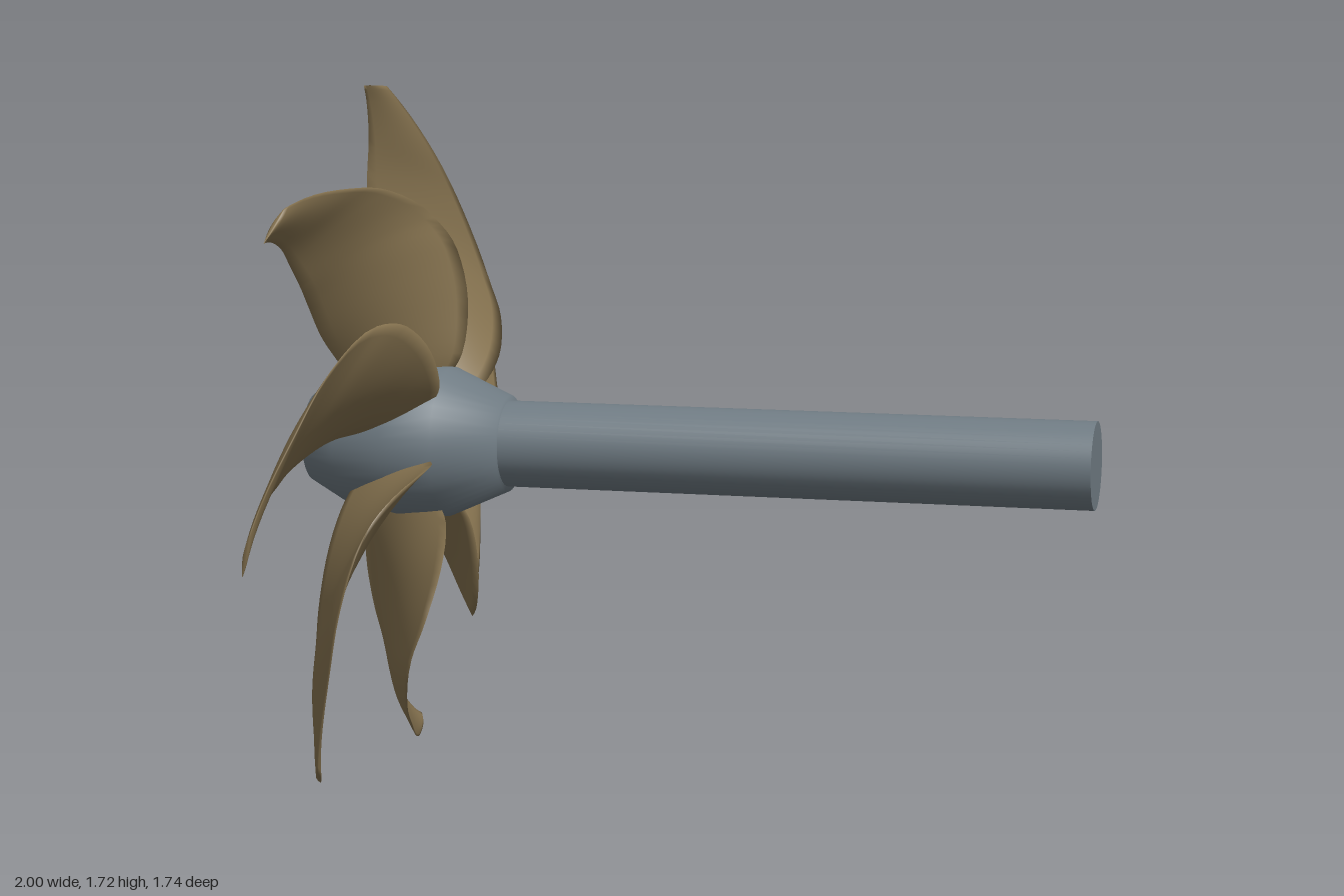
import * as THREE from 'three';

const AXIS_Y = 0.835, AXIS_Z = -0.003;
const BLADES = 7, ROWS = 32, COLS = 12;

// Blade stations: radius, then sweep angle (degrees) and axial position of the concave and convex edges
const STATIONS = [
  [0.15, 23, -0.83, 56, -0.63],
  [0.22, 19, -0.85, 58, -0.59],
  [0.35, 13, -0.868, 59, -0.58],
  [0.48, 10.5, -0.866, 56, -0.605],
  [0.56, 9, -0.86, 50, -0.645],
  [0.665, 7.3, -0.855, 35, -0.70],
  [0.75, 5.5, -0.845, 22.2, -0.74],
  [0.84, 2.2, -0.835, 11.5, -0.785],
  [0.882, 0, -0.83, 6.6, -0.805],
];

// Smooth edge curve in (angle, axial, radius) space
function edgeCurve(column) {
  return new THREE.CatmullRomCurve3(STATIONS.map((s) =>
    new THREE.Vector3(THREE.MathUtils.degToRad(s[column]), s[column + 1], s[0])));
}

// Thin lens-shaped sections wrapped around the axis and joined from root to tip
function bladeGeometry() {
  const concave = edgeCurve(1), convex = edgeCurve(3);
  const positions = [], index = [], loop = COLS * 2;
  for (let i = 0; i <= ROWS; i++) {
    const t = i / ROWS;
    const a = concave.getPoint(t), b = convex.getPoint(t);
    const r = (a.z + b.z) / 2;
    const dx = b.y - a.y, arc = r * (b.x - a.x), len = Math.hypot(dx, arc);
    const half = 0.016 * (1 - 0.6 * t);
    for (let j = 0; j < loop; j++) {
      const upper = j <= COLS;
      const s = upper ? j / COLS : (loop - j) / COLS;
      const off = (upper ? 1 : -1) * half * Math.sin(Math.PI * s);
      const radius = THREE.MathUtils.lerp(a.z, b.z, s);
      const angle = THREE.MathUtils.lerp(a.x, b.x, s) - off * dx / len / radius;
      const x = THREE.MathUtils.lerp(a.y, b.y, s) + off * arc / len;
      positions.push(x, radius * Math.cos(angle), -radius * Math.sin(angle));
    }
  }
  for (let i = 0; i < ROWS; i++) {
    for (let j = 0; j < loop; j++) {
      const k = (j + 1) % loop;
      const p = i * loop + j, q = i * loop + k;
      index.push(p, q, p + loop, q, q + loop, p + loop);
    }
  }
  // Tip cap
  const tip = ROWS * loop;
  for (let j = 1; j < loop - 1; j++) index.push(tip, tip + j, tip + j + 1);
  const geometry = new THREE.BufferGeometry();
  geometry.setAttribute('position', new THREE.Float32BufferAttribute(positions, 3));
  geometry.setIndex(index);
  geometry.computeVertexNormals();
  return geometry;
}

export function createModel() {
  const steel = new THREE.MeshStandardMaterial({ color: 0x707c84 });
  steel.name = 'steel grey';
  const bronze = new THREE.MeshStandardMaterial({ color: 0x85724f });
  bronze.name = 'bronze';

  const model = new THREE.Group();
  model.name = 'propeller';
  const rotor = new THREE.Group();
  rotor.name = 'rotor';
  rotor.position.set(0, AXIS_Y, AXIS_Z);
  model.add(rotor);

  // Faceted-profile hub turned about the x axis
  const profile = [[0, -1], [0.03, -0.998], [0.112, -0.967], [0.165, -0.87], [0.188, -0.74],
    [0.187, -0.61], [0.12, -0.46], [0, -0.46]].map(([r, x]) => new THREE.Vector2(r, x));
  const hub = new THREE.Mesh(new THREE.LatheGeometry(profile, 40), steel);
  hub.name = 'hub';
  hub.rotation.z = -Math.PI / 2;
  rotor.add(hub);

  // Drive shaft
  const shaft = new THREE.Mesh(new THREE.CylinderGeometry(0.107, 0.107, 1.5, 40), steel);
  shaft.name = 'shaft';
  shaft.rotation.z = -Math.PI / 2;
  shaft.position.x = 0.25;
  rotor.add(shaft);

  // Swept blades
  const geometry = bladeGeometry();
  for (let i = 0; i < BLADES; i++) {
    const blade = new THREE.Mesh(geometry, bronze);
    blade.name = 'blade' + (i + 1);
    blade.rotation.x = (i / BLADES) * Math.PI * 2;
    rotor.add(blade);
  }
  return model;
}
